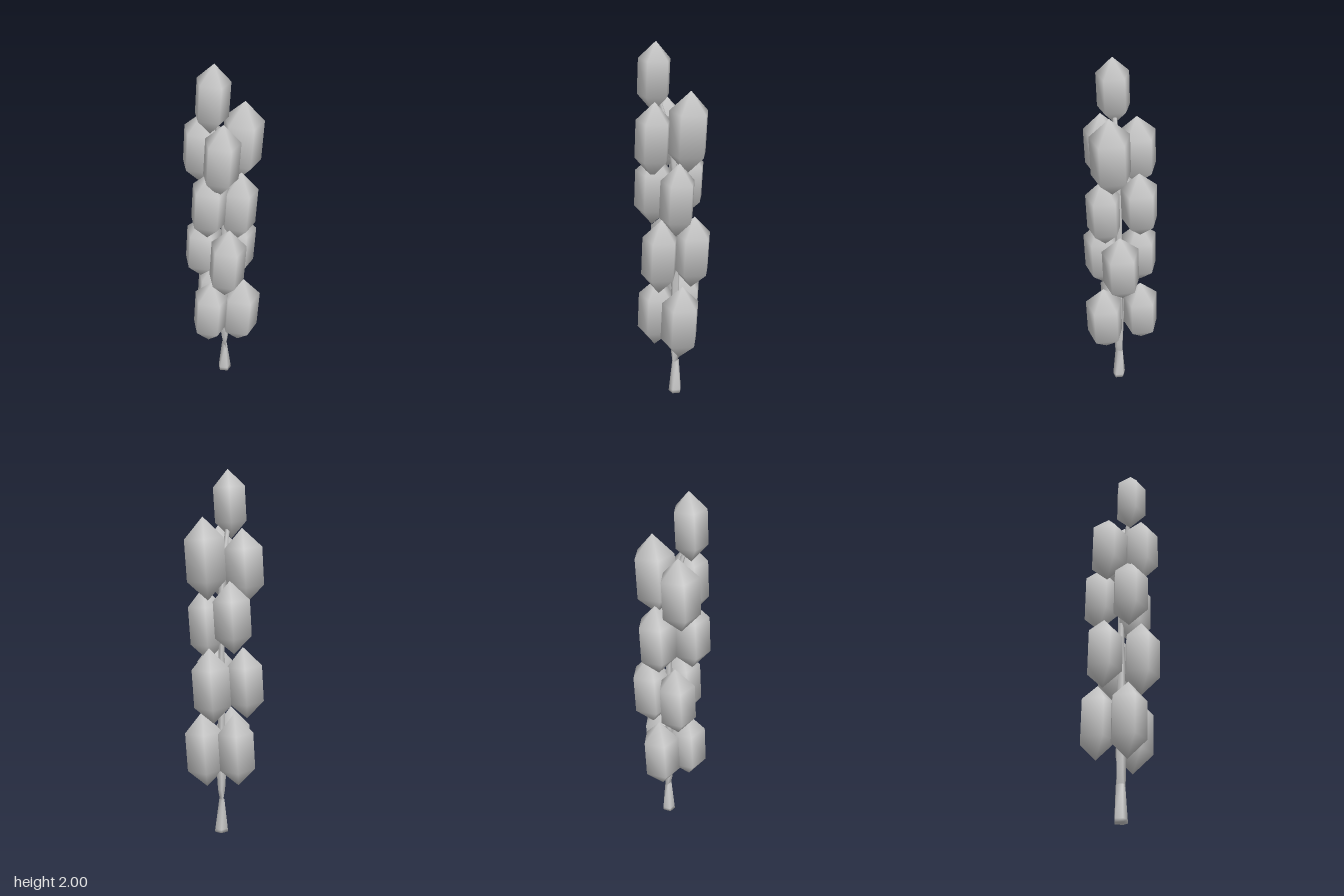
import * as THREE from 'three';

const TILT = -0.065; // shared lean of every pod toward +x

// [x, y, z, ring radius, half height]
const PODS = [
  // tip
  [-0.072, 1.818, 0.075, 0.088, 0.182],
  // upper tier
  [0.092, 1.54, -0.005, 0.108, 0.22],
  [-0.037, 1.505, 0.125, 0.095, 0.2],
  [-0.11, 1.5, -0.045, 0.104, 0.2],
  // upper middle tier
  [-0.018, 1.24, -0.114, 0.1, 0.195],
  [-0.092, 1.22, 0.072, 0.1, 0.2],
  [0.068, 1.185, 0.053, 0.096, 0.205],
  // lower middle tier
  [-0.005, 0.865, 0.113, 0.1, 0.215],
  [-0.112, 0.87, -0.065, 0.1, 0.2],
  [0.077, 0.865, -0.058, 0.104, 0.21],
  // bottom tier
  [-0.091, 0.5, 0.06, 0.1, 0.21],
  [0.082, 0.48, 0.045, 0.107, 0.22],
  [-0.045, 0.515, -0.117, 0.1, 0.207],
];

// Tapered stalk from elliptical rings [x, y, z, radius x, radius z]
function stalkGeometry(rings, sides = 5) {
  const pos = [], idx = [];
  rings.forEach(([x, y, z, rx, rz]) => {
    for (let i = 0; i < sides; i++) {
      const a = (i / sides) * Math.PI * 2;
      pos.push(x + Math.cos(a) * rx, y, z + Math.sin(a) * rz);
    }
  });
  for (let r = 0; r < rings.length - 1; r++) {
    for (let i = 0; i < sides; i++) {
      const a = r * sides + i, b = r * sides + ((i + 1) % sides);
      idx.push(a, a + sides, b, b, a + sides, b + sides);
    }
  }
  // end caps
  const last = (rings.length - 1) * sides;
  for (let i = 1; i < sides - 1; i++) {
    idx.push(0, i, i + 1, last, last + i + 1, last + i);
  }
  const g = new THREE.BufferGeometry();
  g.setAttribute('position', new THREE.Float32BufferAttribute(pos, 3));
  g.setIndex(idx);
  g.computeVertexNormals();
  return g;
}

export function createModel() {
  const group = new THREE.Group();
  const grey = new THREE.MeshStandardMaterial({ color: 0xcccccc });
  grey.name = 'lightGrey';

  const add = (geometry, name) => {
    const mesh = new THREE.Mesh(geometry, grey);
    mesh.name = name;
    group.add(mesh);
    return mesh;
  };

  // Flared foot of the stalk
  add(stalkGeometry([
    [0, 0, 0, 0.039, 0.036],
    [0, 0.02, -0.002, 0.037, 0.036],
    [0, 0.195, -0.003, 0.014, 0.026],
  ]), 'stalkFoot');

  // Main stalk, pinched between the tiers and bending into the tip pod
  add(stalkGeometry([
    [0, 0.18, 0, 0.004, 0.026],
    [0, 0.25, 0, 0.02, 0.026],
    [0, 0.36, 0, 0.028, 0.028],
    [0, 0.65, 0, 0.02, 0.022],
    [0, 0.85, 0, 0.026, 0.024],
    [0, 1.05, 0, 0.016, 0.018],
    [0, 1.3, 0, 0.02, 0.018],
    [-0.015, 1.5, 0.015, 0.016, 0.016],
    [-0.06, 1.72, 0.065, 0.012, 0.012],
  ]), 'stalk');

  // Pods: stretched five-sided spheres
  const podGeometry = new THREE.SphereGeometry(1, 5, 3).rotateY(Math.PI);
  PODS.forEach(([x, y, z, r, h], i) => {
    const pod = add(podGeometry, `pod${i + 1}`);
    pod.position.set(x, y, z);
    pod.scale.set(r / 0.866, h, r / 0.866);
    pod.rotation.z = TILT;
  });

  return group;
}
